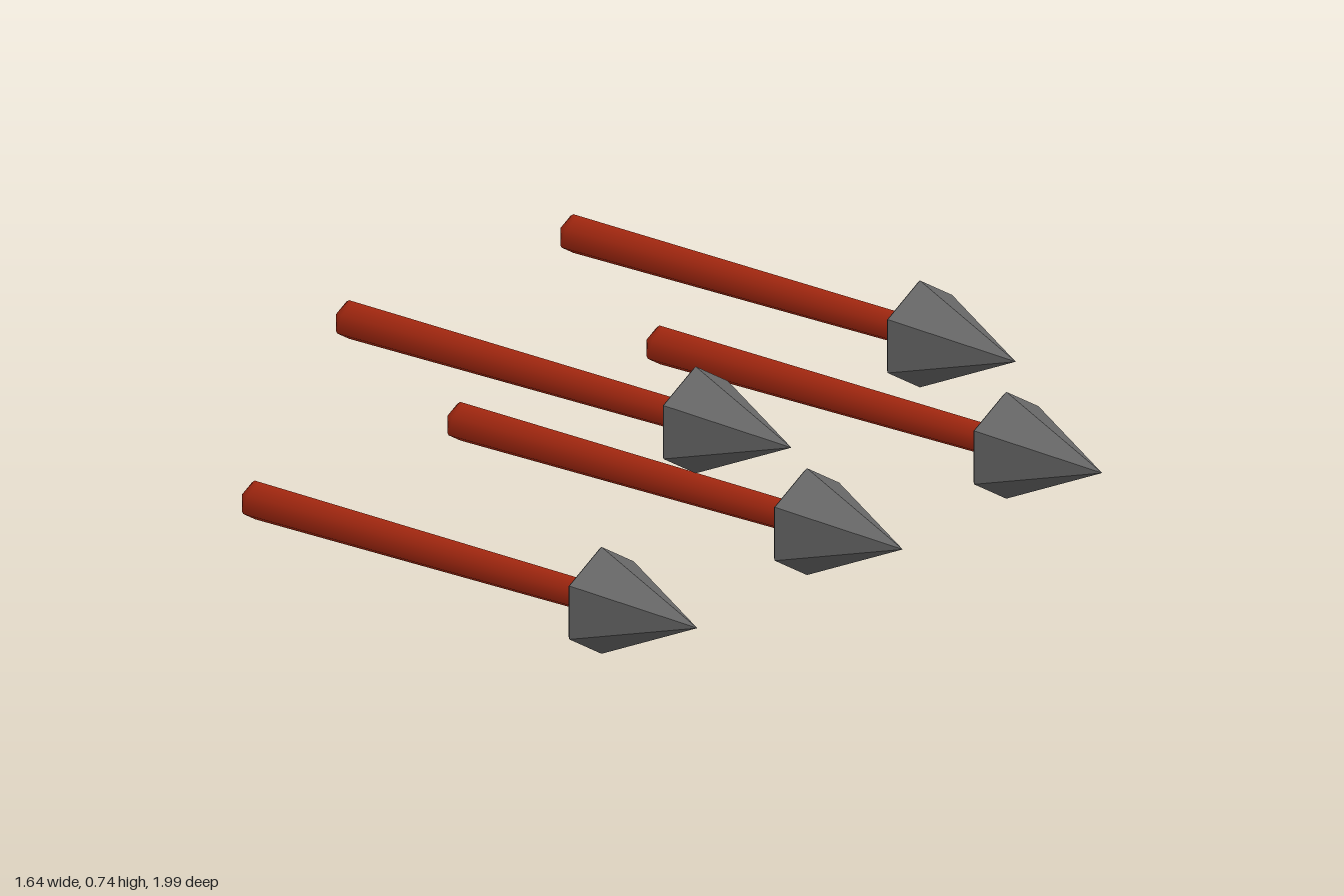
import * as THREE from 'three';

const HEAD_RADIUS = 0.158;

// Six-sided solid of revolution lying along +x, corners at top and bottom.
// Profile points are [radius, x], listed from tail to tip.
function hexLathe(profile, flat) {
  const points = profile.map(([r, x]) => new THREE.Vector2(r, x));
  let geometry = new THREE.LatheGeometry(points, 6, Math.PI / 2);
  geometry.rotateZ(-Math.PI / 2);
  if (flat) {
    geometry = geometry.toNonIndexed();
    geometry.computeVertexNormals();
  }
  return geometry;
}

export function createModel() {
  const group = new THREE.Group();
  group.name = 'arrows';

  const red = new THREE.MeshStandardMaterial({ color: 0xa52810 });
  red.name = 'red shaft';
  const grey = new THREE.MeshStandardMaterial({ color: 0x666666 });
  grey.name = 'grey head';

  // Tapered shaft with a small bevel at the tail
  const shaftGeometry = hexLathe([
    [0, -0.825], [0.05, -0.825], [0.057, -0.815], [0.057, -0.8], [0.046, 0.46],
  ], false);

  // Faceted cone head with a slightly bevelled rim
  const headGeometry = hexLathe([
    [0, 0.457], [0.149, 0.457], [HEAD_RADIUS, 0.466], [0, 0.82],
  ], true);

  // Three arrows below, two above: [y, z]
  const places = [
    [HEAD_RADIUS, 0.858], [HEAD_RADIUS, -0.015], [HEAD_RADIUS, -0.862],
    [0.585, 0.458], [0.585, -0.495],
  ];
  places.forEach(([y, z], i) => {
    const arrow = new THREE.Group();
    arrow.name = `arrow${i + 1}`;
    const shaft = new THREE.Mesh(shaftGeometry, red);
    shaft.name = 'shaft';
    const head = new THREE.Mesh(headGeometry, grey);
    head.name = 'head';
    arrow.add(shaft, head);
    arrow.position.set(0, y, z);
    group.add(arrow);
  });
  return group;
}
